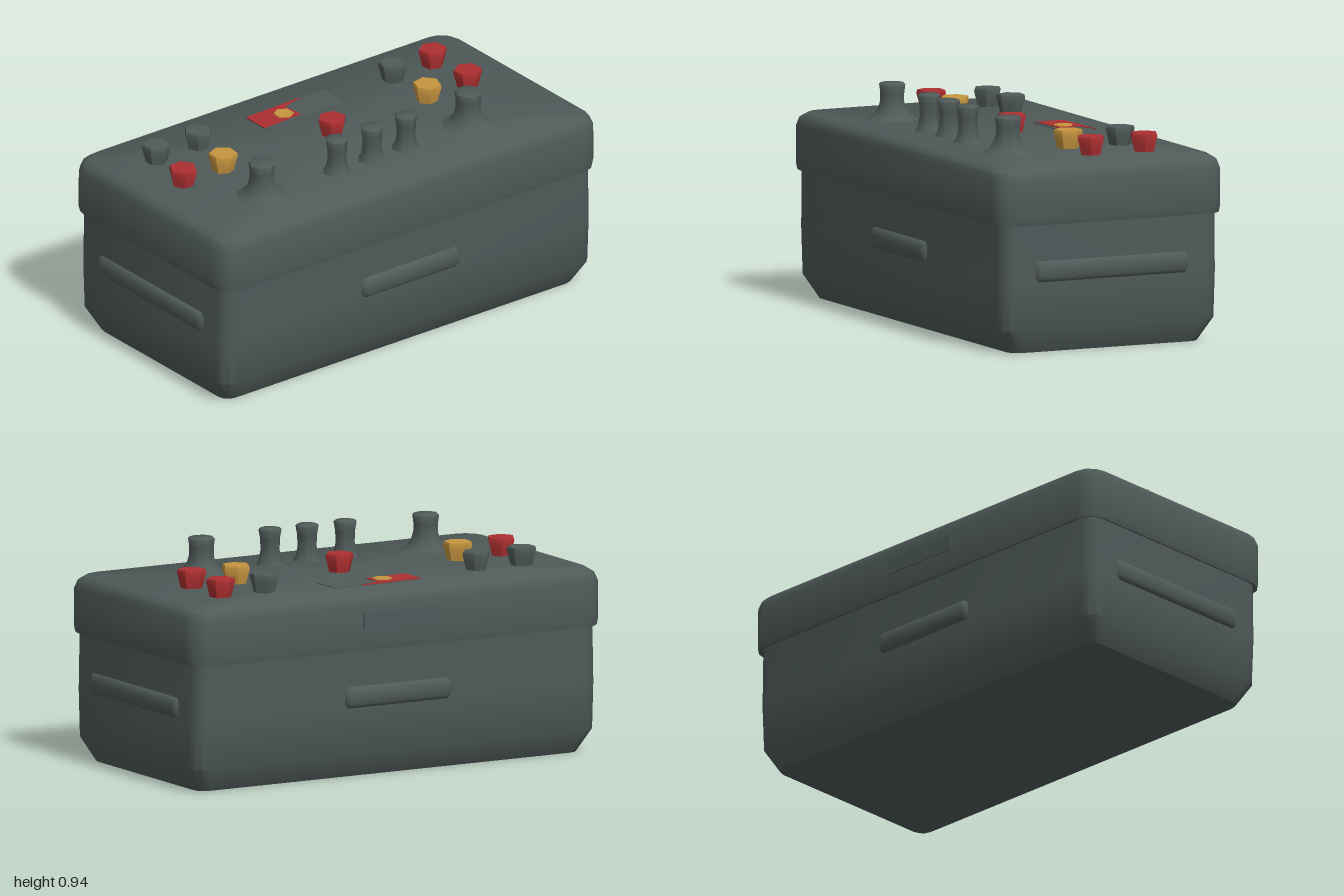
import * as THREE from 'three';
import { toCreasedNormals } from 'three/addons/utils/BufferGeometryUtils.js';

const mat = (name, color) => Object.assign(new THREE.MeshStandardMaterial({ color }), { name });

// Closed loft through rounded rectangles; each section is [y, halfX, halfZ, cornerRadius]
function loft(sections, steps = 3, crease = 0.7) {
  const pos = [], index = [], n = 4 * (steps + 1);
  for (const [y, hx, hz, r] of sections) {
    for (let c = 0; c < 4; c++) {
      const sx = c === 0 || c === 3 ? 1 : -1, sz = c < 2 ? 1 : -1;
      for (let s = 0; s <= steps; s++) {
        const a = (c + s / steps) * Math.PI / 2;
        pos.push(sx * (hx - r) + r * Math.cos(a), y, sz * (hz - r) + r * Math.sin(a));
      }
    }
  }
  const last = sections.length - 1;
  for (let k = 0; k < last; k++) for (let j = 0; j < n; j++) {
    const a = k * n + j, b = k * n + (j + 1) % n;
    index.push(a, a + n, b, b, a + n, b + n);
  }
  pos.push(0, sections[0][0], 0, 0, sections[last][0], 0);
  const low = (last + 1) * n, high = low + 1;
  for (let j = 0; j < n; j++) {
    const k = (j + 1) % n;
    index.push(low, j, k, high, last * n + k, last * n + j);
  }
  const g = new THREE.BufferGeometry();
  g.setAttribute('position', new THREE.Float32BufferAttribute(pos, 3));
  g.setIndex(index);
  return toCreasedNormals(g, crease);
}

function turned(profile, sides) {
  const points = profile.map(([r, y]) => new THREE.Vector2(r, y));
  return toCreasedNormals(new THREE.LatheGeometry(points, sides), 1.0);
}

export function createModel() {
  const model = new THREE.Group();
  model.name = 'controlBox';
  const grey = mat('slate grey', 0x4f5a59);
  const red = mat('signal red', 0xad2f31);
  const amber = mat('amber', 0xc6953f);

  const add = (name, geometry, material, x = 0, y = 0, z = 0) => {
    const mesh = new THREE.Mesh(geometry, material);
    mesh.name = name;
    mesh.position.set(x, y, z);
    model.add(mesh);
    return mesh;
  };

  // Case and overhanging lid
  add('body', loft([
    [0, 0.925, 0.44, 0.05], [0.1, 0.977, 0.5, 0.07],
    [0.3, 0.977, 0.503, 0.06], [0.56, 0.972, 0.503, 0.06],
  ]), grey);
  add('lid', loft([
    [0.555, 0.96, 0.49, 0.06], [0.543, 0.99, 0.523, 0.08], [0.57, 0.998, 0.528, 0.09],
    [0.73, 0.997, 0.528, 0.09], [0.765, 0.985, 0.518, 0.09], [0.785, 0.955, 0.49, 0.08],
  ]), grey);

  // Grip bars on all four sides
  const grip = (length) => loft([
    [-0.01, length / 2, 0.05, 0.015], [0.012, length / 2 - 0.01, 0.04, 0.015],
    [0.021, length / 2 - 0.02, 0.028, 0.012],
  ], 1);
  for (let i = 0; i < 4; i++) {
    const side = i % 2 === 1, a = i * Math.PI / 2;
    const bar = add('grip', grip(side ? 0.72 : 0.52), grey);
    const d = side ? 0.973 : 0.502;
    bar.position.set(Math.sin(a) * d, 0.345, Math.cos(a) * d);
    bar.rotation.set(Math.PI / 2, 0, 0);
    bar.rotation.order = 'YXZ';
    bar.rotation.y = a;
  }

  // Pressed-in catch plate at the back of the lid
  add('backCatch', new THREE.BoxGeometry(0.36, 0.07, 0.008), grey, 0, 0.67, -0.53);

  // Gauge with red scale and amber pointer
  const top = 0.785;
  add('gaugeFrame', new THREE.BoxGeometry(0.42, 0.006, 0.14), grey, 0.01, top, -0.29);
  const scale = new THREE.Shape([
    [-0.2, 0.23], [0, 0.24], [-0.01, 0.335], [0.09, 0.365], [-0.2, 0.355],
  ].map(([x, y]) => new THREE.Vector2(x, y)));
  const scaleGeometry = new THREE.ExtrudeGeometry(scale, { depth: 0.004, bevelEnabled: false });
  add('gaugeScale', scaleGeometry.rotateX(-Math.PI / 2), red, 0, top + 0.002, 0);
  add('gaugePointer', new THREE.CylinderGeometry(0.042, 0.045, 0.008, 6), amber, -0.055, top + 0.006, -0.285);

  // Tall joystick stems with flared boots
  const stick = turned([[0.125, -0.005], [0.085, 0.012], [0.063, 0.04], [0.053, 0.075],
    [0.053, 0.11], [0.058, 0.145], [0.05, 0.152], [0, 0.152]], 8);
  for (const x of [-0.585, 0.505]) add('joystick', stick, grey, x, top, 0.25);

  // Slim toggle levers
  const toggle = turned([[0.065, -0.005], [0.05, 0.015], [0.041, 0.06],
    [0.043, 0.11], [0.05, 0.148], [0.042, 0.156], [0, 0.156]], 7);
  for (const x of [-0.205, -0.02, 0.16]) add('toggle', toggle, grey, x, top, 0.268);

  // Push buttons in rows
  const button = turned([[0.045, -0.005], [0.05, 0.02], [0.062, 0.065],
    [0.058, 0.078], [0, 0.08]], 6);
  const buttons = [
    [-0.74, -0.27, grey], [-0.52, -0.27, grey], [0.51, -0.27, grey], [0.725, -0.275, red],
    [-0.785, -0.03, red], [-0.57, -0.035, amber], [-0.005, -0.02, red],
    [0.505, -0.03, amber], [0.72, -0.03, red],
  ];
  buttons.forEach(([x, z, m], i) => {
    add('button', button, m, x, top, z).rotation.y = i * 0.4;
  });

  return model;
}
